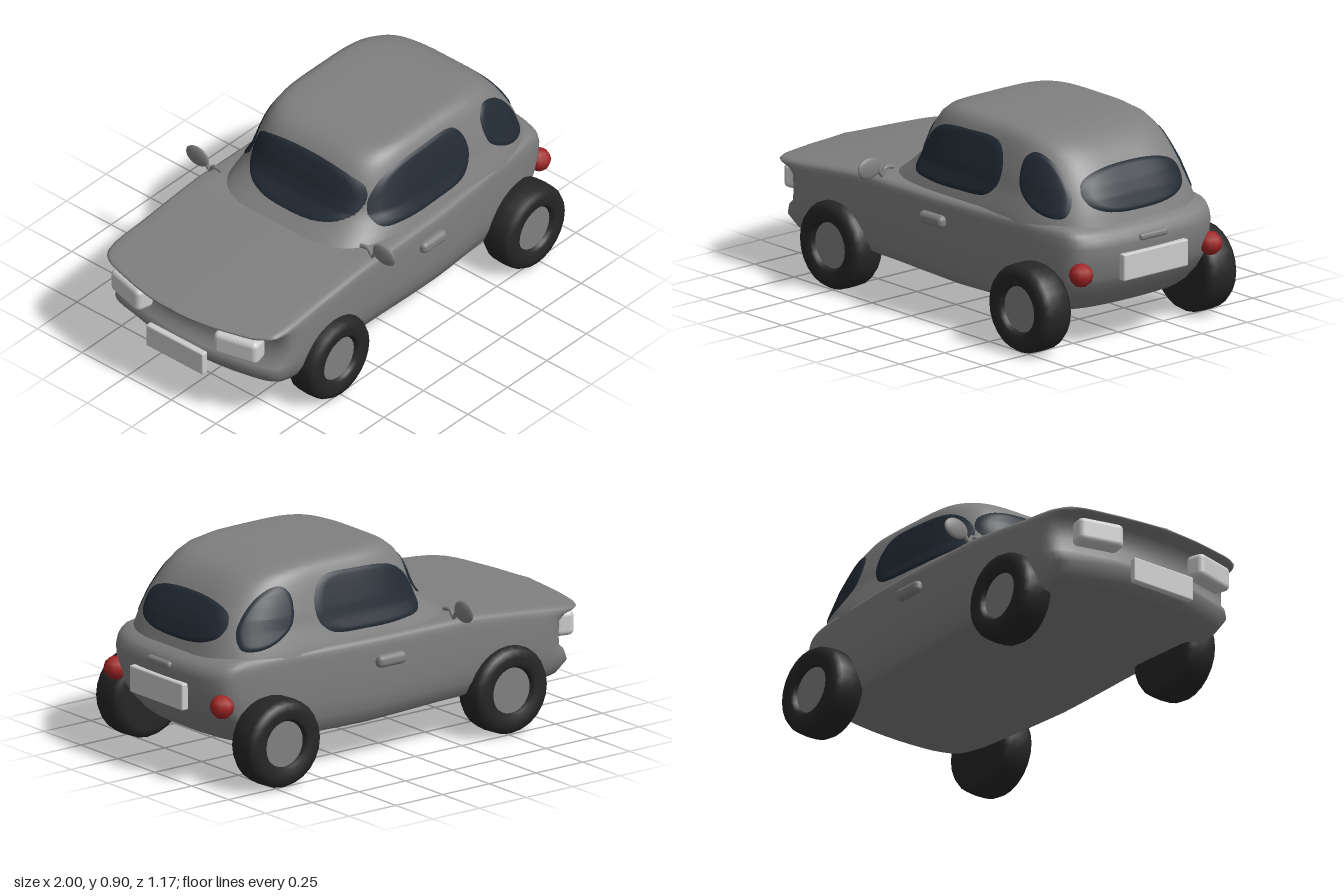
import * as THREE from 'three';
import { RoundedBoxGeometry } from 'three/addons/geometries/RoundedBoxGeometry.js';

const mat = (color) => new THREE.MeshStandardMaterial({ color });
const paint = mat(0x808080), light = mat(0xcccccc), rubber = mat(0x262626);
const glass = mat(0x222a33), red = mat(0xa02525);
glass.side = THREE.DoubleSide;

// Piecewise-linear lookup: rows of [key, value, value...]
function lookup(rows, key, col = 1) {
  if (key <= rows[0][0]) return rows[0][col];
  for (let i = 1; i < rows.length; i++) {
    const a = rows[i - 1], b = rows[i];
    if (key <= b[0]) return a[col] + (b[col] - a[col]) * (key - a[0]) / (b[0] - a[0]);
  }
  return rows[rows.length - 1][col];
}

// Skin over closed rings of equal length
function loft(rings) {
  const n = rings[0].length, pos = [], index = [];
  rings.forEach((ring) => ring.forEach((p) => pos.push(...p)));
  for (let k = 0; k < rings.length - 1; k++) {
    for (let i = 0; i < n; i++) {
      const a = k * n + i, b = k * n + (i + 1) % n;
      index.push(a, a + n, b, b, a + n, b + n);
    }
  }
  const geo = new THREE.BufferGeometry();
  geo.setAttribute('position', new THREE.Float32BufferAttribute(pos, 3));
  geo.setIndex(index);
  geo.computeVertexNormals();
  return geo;
}

// Body: plan outline from tail to nose, stacked between floor and shoulder lines
const half = [[0.98, 0], [0.975, 0.15], [0.955, 0.29], [0.91, 0.375], [0.8, 0.41], [0.5, 0.445], [0.2, 0.47],
  [-0.2, 0.48], [-0.6, 0.482], [-0.87, 0.475], [-0.92, 0.43], [-0.96, 0.3], [-0.99, 0.15], [-1, 0]];
const floorLine = [[-0.95, 0.22], [-0.88, 0.195], [-0.7, 0.18], [-0.27, 0.19], [0.2, 0.17], [0.85, 0.17]];
const topLine = [[-1, 0.475], [-0.8, 0.503], [-0.32, 0.55], [0.85, 0.552], [0.95, 0.54]];
// [height share, nose shift, tail shift, width scale]
const levels = [[0, 0.13, -0.15, 0], [0, 0.13, -0.15, 0.45], [0, 0.13, -0.15, 0.86], [0.05, 0.09, -0.13, 0.92],
  [0.2, 0.05, -0.08, 0.97], [0.34, 0.07, -0.045, 0.985], [0.42, 0.1, -0.03, 0.99], [0.6, 0.11, -0.01, 1],
  [0.8, 0.105, 0, 1], [0.89, 0.07, -0.01, 1], [0.94, 0.02, -0.025, 0.995], [0.975, 0.002, -0.045, 0.985],
  [1, 0, -0.07, 0.95], [1, 0, -0.075, 0.85], [1, 0, -0.075, 0.45], [1, 0, -0.075, 0]];

function bodyGeometry() {
  const outline = [...half, ...half.slice(1, -1).reverse().map(([x, z]) => [x, -z])];
  const plan = new THREE.CatmullRomCurve3(outline.map(([x, z]) => new THREE.Vector3(x, 0, z)), true).getPoints(104).slice(0, -1);
  return loft(levels.map(([v, nose, tail, wide]) => plan.map((p) => {
    const x = p.x + nose * THREE.MathUtils.smoothstep(-p.x, 0.55, 0.98) + tail * THREE.MathUtils.smoothstep(p.x, 0.55, 0.98);
    const low = lookup(floorLine, x), high = lookup(topLine, x);
    const crown = v === 1 ? 0.006 * (1 - wide) : 0;
    return [x, low + (high - low) * v + crown, p.z * wide];
  })));
}

// Cabin: superellipse sections, rows of [height, front x, rear x, half width]
const cabin = [[0.53, -0.36, 0.92, 0.44], [0.56, -0.32, 0.91, 0.432], [0.6, -0.265, 0.897, 0.418], [0.65, -0.21, 0.877, 0.4],
  [0.7, -0.185, 0.85, 0.388], [0.75, -0.168, 0.815, 0.373], [0.8, -0.145, 0.775, 0.357], [0.84, -0.117, 0.73, 0.342],
  [0.87, -0.08, 0.675, 0.325], [0.89, -0.03, 0.59, 0.3], [0.898, 0.05, 0.48, 0.265]];
const POWER = 4;
function section(y) {
  const [f, r, w] = [1, 2, 3].map((c) => lookup(cabin, y, c));
  return { mid: (f + r) / 2, a: (r - f) / 2, w };
}
const other = (t) => Math.pow(Math.max(0, 1 - Math.pow(Math.abs(t), POWER)), 1 / POWER);
const bend = (c) => Math.sign(c) * Math.pow(Math.abs(c), 2 / POWER);

function cabinGeometry() {
  const ring = (y, s, lift) => {
    const { mid, a, w } = section(y);
    return Array.from({ length: 96 }, (_, i) => {
      const t = i / 96 * Math.PI * 2;
      return [mid + a * s * bend(Math.cos(t)), y + lift, w * s * bend(Math.sin(t))];
    });
  };
  const rings = [];
  cabin.forEach(([y], i) => {
    rings.push(ring(y, 1, 0));
    if (i < cabin.length - 1) rings.push(ring((y + cabin[i + 1][0]) / 2, 1, 0));
  });
  [[0.8, 0.002], [0.4, 0.003], [0, 0.003]].forEach(([s, lift]) => rings.push(ring(0.898, s, lift)));
  return loft(rings);
}

// Glass: outline filled with shrinking rings, each point laid on the cabin surface
function glassGeometry(points, place) {
  const edge = new THREE.CatmullRomCurve3(points.map(([u, y]) => new THREE.Vector3(u, y, 0)), true).getPoints(56).slice(0, -1);
  const mid = new THREE.Box3().setFromPoints(edge).getCenter(new THREE.Vector3());
  const rings = [];
  for (let k = 0; k <= 10; k++) {
    rings.push(edge.map((p) => {
      const q = p.clone().lerp(mid, k / 10);
      return place(q.x, q.y, k === 0 ? -0.004 : 0.005);
    }));
  }
  return loft(rings);
}
const onSide = (side) => (x, y, off) => {
  const { mid, a, w } = section(y);
  return [x, y + off * 0.3, side * (w * other((x - mid) / a) + off)];
};
const onEnd = (end) => (z, y, off) => {
  const { mid, a, w } = section(y);
  return [mid + end * (a * other(z / w) + off), y + off * 0.5, z];
};
// Wide oval for the windscreen and rear window
const oval = (w, y, h) => Array.from({ length: 16 }, (_, i) => {
  const t = i / 16 * Math.PI * 2, sq = (c) => Math.sign(c) * Math.pow(Math.abs(c), 0.8);
  return [w * sq(Math.cos(t)), y + h * sq(Math.sin(t))];
});
const doorWindow = [[-0.145, 0.65], [-0.1, 0.745], [0, 0.815], [0.2, 0.84], [0.4, 0.83], [0.455, 0.75], [0.45, 0.66],
  [0.39, 0.6], [0.2, 0.582], [0, 0.582], [-0.12, 0.6]];
const quarterWindow = [[0.55, 0.79], [0.59, 0.828], [0.67, 0.81], [0.76, 0.74], [0.82, 0.65], [0.82, 0.582],
  [0.76, 0.573], [0.65, 0.605], [0.565, 0.67]];

export function createModel() {
  const car = new THREE.Group();
  car.name = 'car';
  const add = (name, geo, material, x = 0, y = 0, z = 0) => {
    const mesh = new THREE.Mesh(geo, material);
    mesh.name = name;
    mesh.position.set(x, y, z);
    car.add(mesh);
    return mesh;
  };
  const box = (x, y, z, r) => new RoundedBoxGeometry(x, y, z, 3, r);

  add('body', bodyGeometry(), paint);
  add('cabin', cabinGeometry(), paint);
  add('windscreen', glassGeometry(oval(0.335, 0.71, 0.12), onEnd(-1)), glass);
  add('rearWindow', glassGeometry(oval(0.29, 0.675, 0.097), onEnd(1)), glass);

  // Wheel profiles, turned about the axle
  const tyre = new THREE.LatheGeometry([[0.001, -0.08], [0.15, -0.08], [0.178, -0.072], [0.191, -0.05], [0.194, 0],
    [0.191, 0.05], [0.178, 0.073], [0.15, 0.08], [0.115, 0.078], [0.105, 0.068], [0.098, 0.05]]
    .map(([r, h]) => new THREE.Vector2(r, h)), 24);
  const hub = new THREE.CylinderGeometry(0.1, 0.1, 0.03, 24);

  for (const side of [1, -1]) {
    const label = side > 0 ? 'Left' : 'Right';
    add('doorWindow' + label, glassGeometry(doorWindow, onSide(side)), glass);
    add('quarterWindow' + label, glassGeometry(quarterWindow, onSide(side)), glass);

    for (const [end, x, z] of [['front', -0.51, 0.447], ['rear', 0.715, 0.46]]) {
      add(end + 'Tyre' + label, tyre, rubber, x, 0.197, side * z).rotation.x = side * Math.PI / 2;
      add(end + 'Hub' + label, hub, paint, x, 0.197, side * (z + 0.04)).rotation.x = Math.PI / 2;
    }

    add('headlight' + label, box(0.09, 0.11, 0.21, 0.025), light, -0.908, 0.393, side * 0.3).rotation.y = side * 0.25;
    add('tailLight' + label, new THREE.SphereGeometry(0.052, 8, 6), red, 0.925, 0.362, side * 0.36);
    add('doorHandle' + label, box(0.15, 0.055, 0.05, 0.022), paint, 0.115, 0.448, side * 0.478);

    // Door mirror on a short curved arm
    const mirror = add('mirror' + label, new THREE.SphereGeometry(1, 20, 14), paint, -0.242, 0.598, side * 0.523);
    mirror.scale.set(0.014, 0.047, 0.063);
    const arm = new THREE.CatmullRomCurve3([[0.39, 0.57], [0.435, 0.573], [0.455, 0.557], [0.475, 0.585]]
      .map(([z, y]) => new THREE.Vector3(-0.24, y + (z < 0.45 ? 0.012 : 0), side * z)));
    add('mirrorArm' + label, new THREE.TubeGeometry(arm, 10, 0.009, 8), paint);
  }

  add('rearPlate', box(0.035, 0.118, 0.36, 0.008), light, 0.978, 0.372);
  add('frontPlate', box(0.032, 0.11, 0.32, 0.008), light, -0.966, 0.255);
  add('bootHandle', box(0.04, 0.032, 0.155, 0.014), paint, 0.968, 0.484);
  return car;
}
